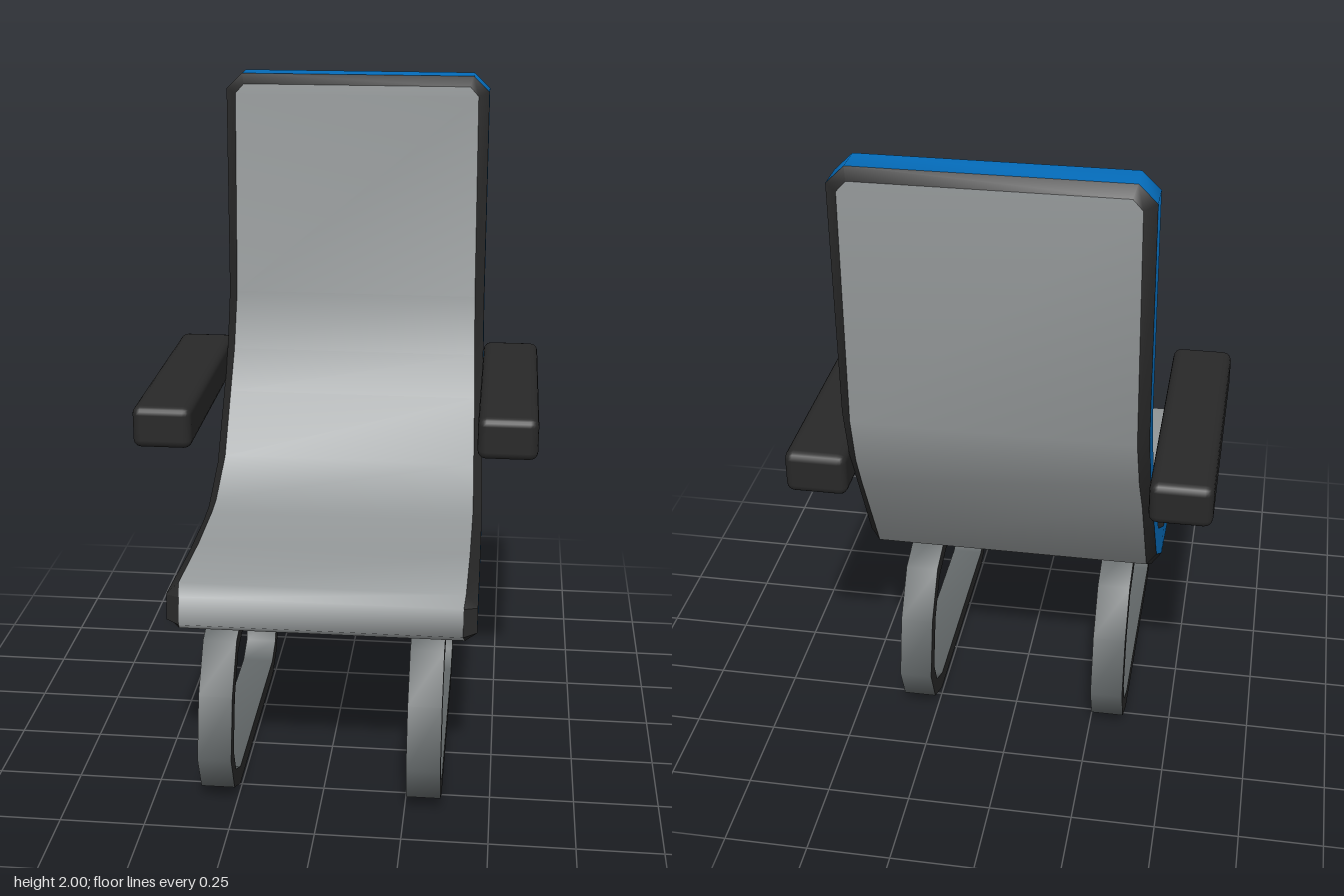
import * as THREE from 'three';
import { toCreasedNormals, mergeGeometries } from 'three/addons/utils/BufferGeometryUtils.js';
import { RoundedBoxGeometry } from 'three/addons/geometries/RoundedBoxGeometry.js';

const mat = (name, color) => {
  const m = new THREE.MeshStandardMaterial({ color });
  m.name = name;
  return m;
};

// Ribbon of quads between two equally long rows of points
function strip(left, right) {
  const pos = [], index = [];
  left.forEach((p, i) => {
    pos.push(...p, ...right[i]);
    const k = i * 2;
    if (i) index.push(k - 2, k - 1, k + 1, k - 2, k + 1, k);
  });
  const g = new THREE.BufferGeometry();
  g.setAttribute('position', new THREE.Float32BufferAttribute(pos, 3));
  g.setIndex(index);
  return toCreasedNormals(g, 1.1);
}

const mirror = ([x, y, z]) => [-x, y, z];

// Cross-sections from the seat's front edge to the top of the back:
// face z, y, rear z, y, outer half width, panel half width, [edge z, y, z, y]
const RINGS = [
  [0.583, 0.655, 0.594, 0.572, 0.45, 0.41, [0.558, 0.65, 0.57, 0.577]],
  [0.55, 0.686, 0.56, 0.546, 0.45, 0.415],
  [0.22, 0.668, 0.22, 0.53, 0.448, 0.417],
  [-0.02, 0.674, -0.02, 0.534, 0.446, 0.417],
  [-0.10, 0.684, -0.18, 0.55, 0.445, 0.417],
  [-0.26, 0.778, -0.328, 0.651, 0.44, 0.412],
  [-0.37, 0.97, -0.508, 0.974, 0.433, 0.407],
  [-0.435, 1.10, -0.575, 1.09, 0.43, 0.402],
  [-0.483, 1.286, -0.63, 1.25, 0.427, 0.397],
  [-0.498, 1.94, -0.648, 1.94, 0.426, 0.392, [-0.53, 1.95, -0.62, 1.95]],
  [-0.50, 1.97, -0.648, 1.97, 0.375, 0.365, [-0.53, 2.0, -0.62, 2.0]],
];

function seatShell(grey, dark, blue) {
  // Four corners per ring on the +x side: face, face edge, rear edge, rear
  const sections = RINGS.map(([fz, fy, bz, by, wo, wp, edge]) => {
    const mix = (a, b, t) => a + (b - a) * t;
    const e = edge || [mix(fz, bz, 0.23), mix(fy, by, 0.23), mix(fz, bz, 0.77), mix(fy, by, 0.77)];
    return [[wp, fy, fz], [wo, e[1], e[0]], [wo, e[3], e[2]], [wp, by, bz]];
  });
  const col = (k) => sections.map((s) => s[k]);
  const around = (k) => [...col(k), ...col(k).reverse().map(mirror)];

  // Upholstery runs down the rear, round the front edge and up the face
  const path = [...col(3).reverse(), ...col(0)];
  const panel = new THREE.Mesh(strip(path.map(mirror), path), grey);
  panel.name = 'upholstery';

  // Blue band up one side, over the top and down the other
  const band = new THREE.Mesh(strip(around(1), around(2)), blue);
  band.name = 'edgeBand';

  // Dark bevels beside the band, plus the closures at the front corners
  const [a, b, c, d] = sections[0];
  const piping = new THREE.Mesh(mergeGeometries([
    strip(around(0), around(1)),
    strip(around(2), around(3)),
    strip([a, b], [d, c]),
    strip([b, a].map(mirror), [c, d].map(mirror)),
  ]), dark);
  piping.name = 'piping';

  const g = new THREE.Group();
  g.name = 'seat';
  g.add(panel, band, piping);
  return g;
}

// Half outlines (z offset, y) of the looped leg
const OUTER = [[0.2, 0.54], [0.368, 0.485], [0.465, 0.35], [0.51, 0.165], [0.46, 0.048], [0.357, 0]];
const INNER = [[0.19, 0.487], [0.343, 0.44], [0.42, 0.33], [0.46, 0.17], [0.426, 0.09], [0.347, 0.053]];

function legGeometry() {
  const loop = (half) => [...half, ...half.map(([z, y]) => [-z, y]).reverse()]
    .map(([z, y]) => new THREE.Vector2(z, y));
  // The outline runs counter-clockwise, the hole clockwise
  const shape = new THREE.Shape(loop(OUTER).reverse());
  shape.holes.push(new THREE.Path(loop(INNER)));
  const g = new THREE.ExtrudeGeometry(shape, { depth: 0.1, bevelEnabled: false });
  g.translate(0, 0, -0.05);
  g.rotateY(-Math.PI / 2);
  return toCreasedNormals(g, 1.0);
}

export function createModel() {
  const grey = mat('upholstery grey', 0x969a9b);
  const dark = mat('dark plastic', 0x282828);
  const blue = mat('blue trim', 0x046ebe);
  const rim = mat('leg grey', 0x5f6465);

  const model = new THREE.Group();
  model.name = 'chair';
  model.add(seatShell(grey, dark, blue));

  const legGeo = legGeometry();
  const armGeo = new RoundedBoxGeometry(0.18, 0.13, 0.825, 2, 0.025);
  for (const [s, side] of [[1, 'left'], [-1, 'right']]) {
    const leg = new THREE.Mesh(legGeo, [dark, rim]);
    leg.name = side + 'Leg';
    leg.position.set(s * 0.306, 0, 0.14);
    const arm = new THREE.Mesh(armGeo, dark);
    arm.name = side + 'Armrest';
    arm.position.set(s * 0.52, 1.04, -0.183);
    model.add(leg, arm);
  }
  return model;
}
